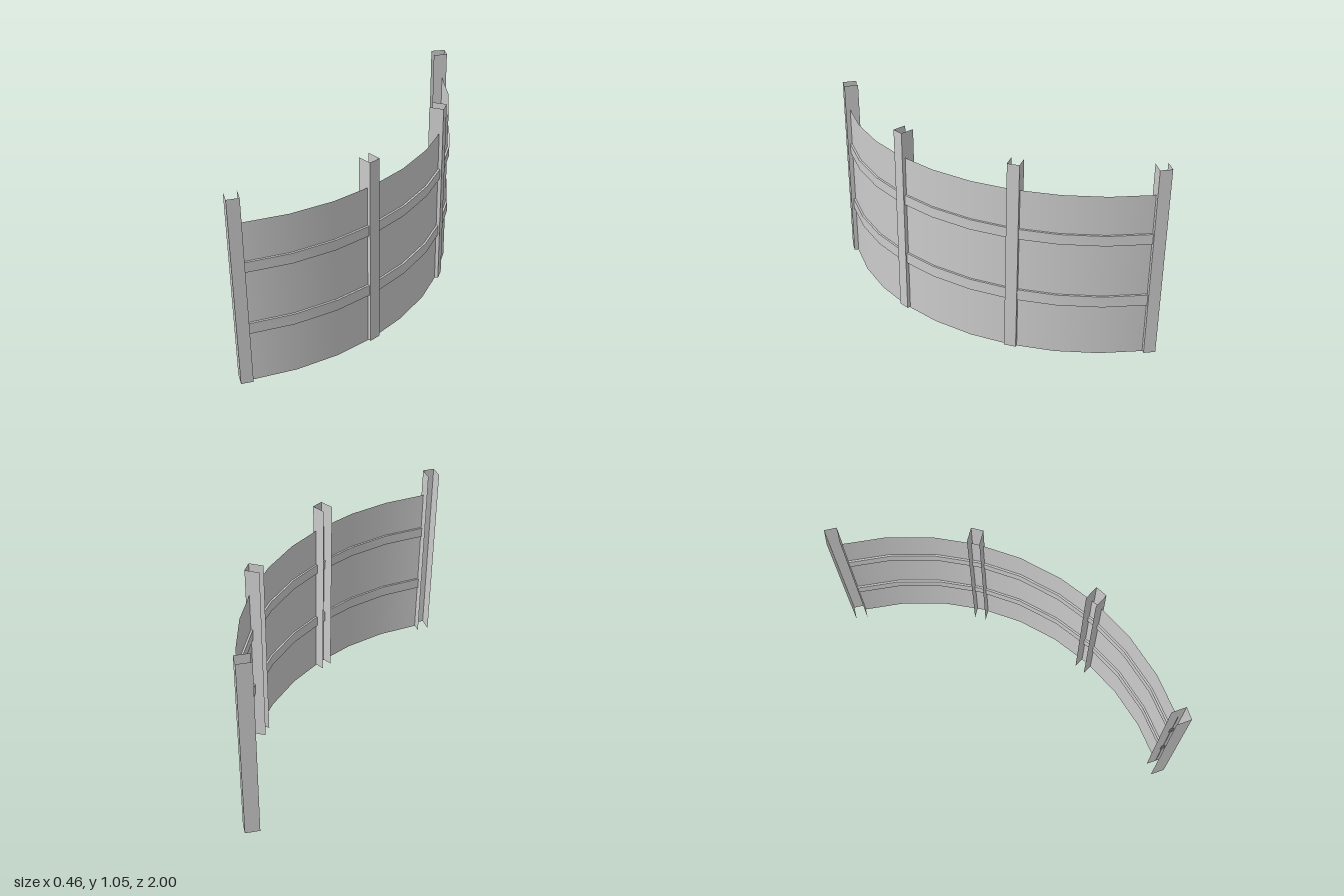
import * as THREE from 'three';
import { toCreasedNormals } from 'three/addons/utils/BufferGeometryUtils.js';

const RADIUS = 1.378, CENTRE_X = -1.158, SEGMENTS = 9;
const HALF = THREE.MathUtils.degToRad(43);
const START = Math.PI / 2 - HALF, SWEEP = HALF * 2;

export function createModel() {
  const model = new THREE.Group();
  const material = new THREE.MeshStandardMaterial({ color: 0xcccccc, side: THREE.DoubleSide });

  const add = (parent, name, geometry, x = 0, y = 0, z = 0) => {
    const mesh = new THREE.Mesh(geometry, material);
    mesh.name = name;
    mesh.position.set(x, y, z);
    parent.add(mesh);
    return mesh;
  };

  // Curved thin wall
  const height = 0.912;
  add(model, 'curvedPanel',
    new THREE.CylinderGeometry(RADIUS, RADIUS, height, SEGMENTS, 1, true, START, SWEEP),
    CENTRE_X, height / 2, 0);

  // Two horizontal rails following the wall, proud on both faces
  const rail = (name, y0, y1) => {
    const ri = RADIUS - 0.01, ro = RADIUS + 0.011;
    const profile = [[ro, y0], [ro, y1], [ri, y1], [ri, y0], [ro, y0]]
      .map(([r, y]) => new THREE.Vector2(r, y));
    const geometry = new THREE.LatheGeometry(profile, SEGMENTS, START, SWEEP);
    add(model, name, toCreasedNormals(geometry, Math.PI / 6), CENTRE_X, 0, 0);
  };
  rail('lowerRail', 0.29, 0.351);
  rail('upperRail', 0.645, 0.701);

  // Thin channel posts, flat outside and open towards the inside of the curve
  const post = (name, x, z, degrees) => {
    const d = 0.038, f = 0.0315, h = 1.05, y = 0.53;
    const group = new THREE.Group();
    group.name = name;
    group.position.set(x, y, z);
    group.rotation.y = -THREE.MathUtils.degToRad(degrees);
    add(group, 'postFace', new THREE.PlaneGeometry(f * 2, h).rotateY(Math.PI / 2), d);
    add(group, 'postSideA', new THREE.PlaneGeometry(d * 2, h), 0, 0, f);
    add(group, 'postSideB', new THREE.PlaneGeometry(d * 2, h).rotateY(Math.PI), 0, 0, -f);
    model.add(group);
  };
  for (const s of [1, -1]) {
    const side = s > 0 ? 'front' : 'back';
    post(side + 'EndPost', -0.18, s * 0.952, s * 42);
    post(side + 'MiddlePost', 0.157, s * 0.334, s * 14.3);
  }

  return model;
}
